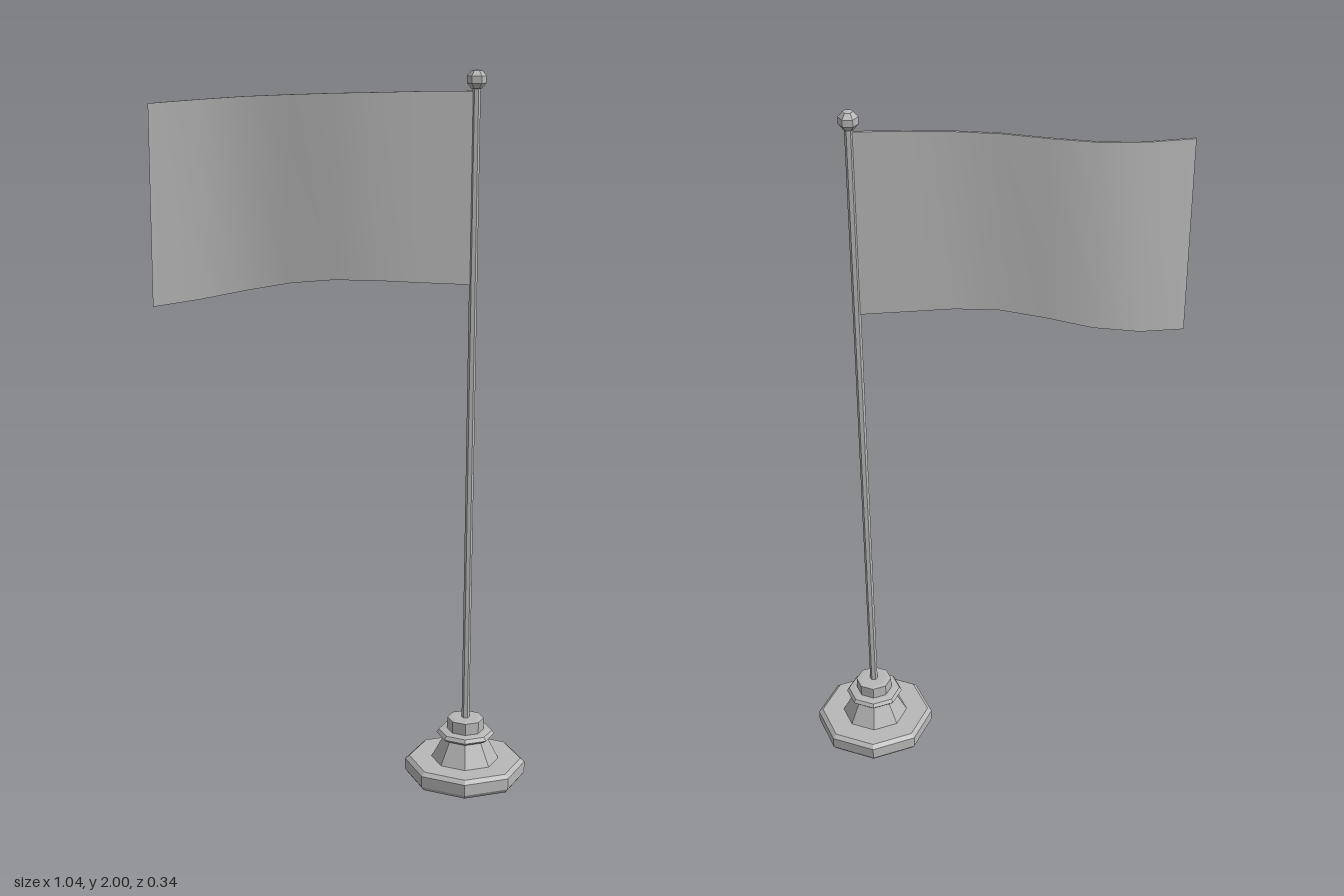
import * as THREE from 'three';
import { mergeGeometries } from 'three/addons/utils/BufferGeometryUtils.js';

const POLE_X = 0.347;

// Faceted solid of revolution, corners on the x axis
function facetedLathe(profile, sides) {
  const points = profile.map(([r, y]) => new THREE.Vector2(r, y));
  const geometry = new THREE.LatheGeometry(points, sides, Math.PI / 2).toNonIndexed();
  geometry.computeVertexNormals();
  return geometry;
}

// Smooth ribbon between two rows of points; faces the viewer when
// the first row is below and both run from left to right
function ribbon(lower, upper) {
  const positions = [];
  const index = [];
  lower.forEach((p, i) => {
    positions.push(...p, ...upper[i]);
    if (i > 0) {
      const k = 2 * (i - 1);
      index.push(k, k + 2, k + 1, k + 1, k + 2, k + 3);
    }
  });
  const geometry = new THREE.BufferGeometry();
  geometry.setAttribute('position', new THREE.Float32BufferAttribute(positions, 3));
  geometry.setIndex(index);
  geometry.computeVertexNormals();
  return geometry;
}

// Thin waving cloth from stations of [x, z, bottom, top]
function clothGeometry(stations, thickness) {
  const h = thickness / 2;
  const row = (level, dz) => stations.map((s) => [s[0], s[level], s[1] + dz]);
  const frontLow = row(2, h), frontTop = row(3, h);
  const backLow = row(2, -h), backTop = row(3, -h);
  const last = stations.length - 1;
  const end = (i, a, b) => ribbon([a[0][i], b[0][i]], [a[1][i], b[1][i]]);
  const front = [frontLow, frontTop];
  const back = [backLow, backTop];
  return mergeGeometries([
    ribbon(frontLow, frontTop),
    ribbon(backTop, backLow),
    ribbon(frontTop, backTop),
    ribbon(backLow, frontLow),
    end(0, back, front),
    end(last, front, back),
  ]);
}

export function createModel() {
  const group = new THREE.Group();
  const grey = new THREE.MeshStandardMaterial({ color: 0xb8b8b8 });
  grey.name = 'grey';

  const add = (name, geometry, x = 0) => {
    const mesh = new THREE.Mesh(geometry, grey);
    mesh.name = name;
    mesh.position.x = x;
    group.add(mesh);
  };

  // Octagonal foot with bevelled rims
  add('foot', facetedLathe([
    [0, 0], [0.163, 0], [0.172, 0.012], [0.172, 0.044], [0.16, 0.054], [0, 0.054],
  ], 8), POLE_X);

  // Tapering pedestal and its flange
  add('pedestal', facetedLathe([[0.097, 0.052], [0.058, 0.126]], 8), POLE_X);
  add('flange', facetedLathe([
    [0, 0.122], [0.076, 0.122], [0.083, 0.129], [0.076, 0.139], [0.06, 0.142], [0, 0.142],
  ], 8), POLE_X);

  // Socket that holds the pole
  add('socket', facetedLathe([
    [0.052, 0.14], [0.052, 0.176], [0.04, 0.178], [0, 0.178],
  ], 8), POLE_X);

  // Hexagonal pole and finial ball
  add('pole', facetedLathe([[0.011, 0.17], [0.011, 1.955]], 6), POLE_X);
  add('finial', facetedLathe([
    [0, 1.949], [0.014, 1.951], [0.026, 1.965], [0.026, 1.984], [0.014, 1.998], [0, 2],
  ], 6), POLE_X);

  // Flag, from the free edge to the pole
  add('flag', clothGeometry([
    [-0.522, 0.027, 1.365, 1.911],
    [-0.4, -0.012, 1.38, 1.919],
    [-0.275, -0.031, 1.403, 1.927],
    [-0.15, -0.019, 1.427, 1.933],
    [-0.03, 0.001, 1.44, 1.938],
    [0.09, 0.009, 1.44, 1.941],
    [0.21, 0.005, 1.435, 1.944],
    [0.342, 0, 1.43, 1.945],
  ], 0.007));

  return group;
}
